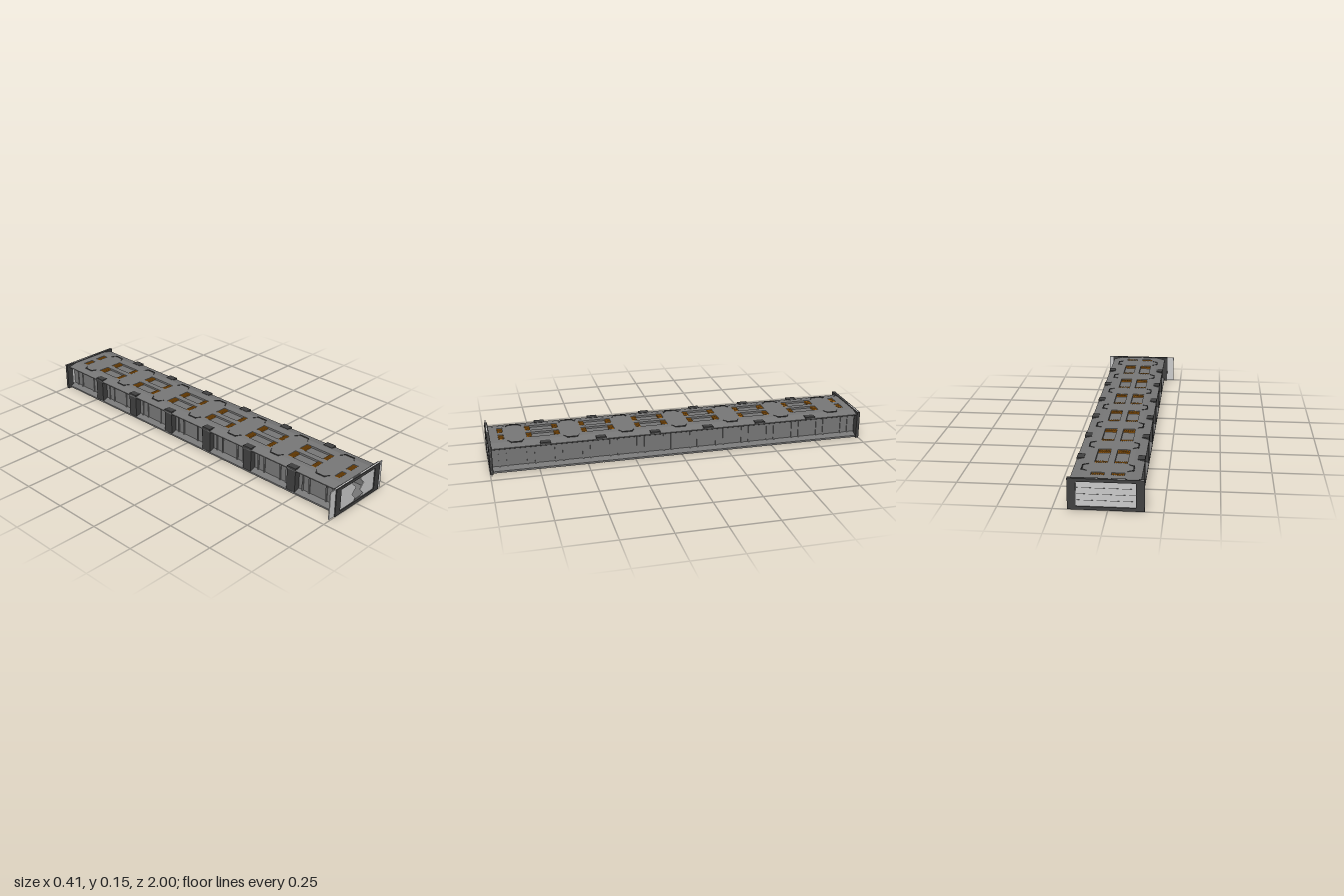
import * as THREE from 'three';

const CX = 0.013; // centre line of the passage
const mat = (color) => new THREE.MeshStandardMaterial({ color, flatShading: true, side: THREE.DoubleSide });

export function createModel() {
  const model = new THREE.Group();
  const hull = mat(0x777777), dark = mat(0x404040), light = mat(0xcccccc), amber = mat(0xb06a10);

  const add = (name, geo, material, parent = model) => {
    const m = new THREE.Mesh(geo, material);
    m.name = name;
    parent.add(m);
    return m;
  };
  // box given by its limits on each axis
  const box = (name, x0, x1, y0, y1, z0, z1, material, parent) => {
    const m = add(name, new THREE.BoxGeometry(Math.abs(x1 - x0), y1 - y0, z1 - z0), material, parent);
    m.position.set((x0 + x1) / 2, (y0 + y1) / 2, (z0 + z1) / 2);
    return m;
  };
  const shapeOf = (pts) => new THREE.Shape(pts.map(([x, y]) => new THREE.Vector2(x, y)));
  const rect = (x0, x1, y0, y1) => [[x0, y0], [x1, y0], [x1, y1], [x0, y1]];
  const extrude = (shape, depth) => new THREE.ExtrudeGeometry(shape, { depth, bevelEnabled: false });
  // lay an extrusion flat: shape y becomes z, thickness rises from y0
  const flat = (name, shape, y0, h, material, parent) => {
    const m = add(name, extrude(shape, h), material, parent);
    m.rotation.x = Math.PI / 2;
    m.position.y = y0 + h;
    return m;
  };

  // hollow passage with walls set back between floor and roof flanges
  const half = [[0.16, 0.004], [0.16, 0.012], [0.127, 0.025], [0.127, 0.115],
    [0.16, 0.13], [0.16, 0.135], [0.11, 0.147], [0.11, 0.137]];
  const section = shapeOf([
    ...half.map(([x, y]) => [CX + x, y]),
    ...half.slice().reverse().map(([x, y]) => [CX - x, y]),
  ]);
  section.holes.push(shapeOf(rect(CX - 0.12, CX + 0.12, 0.014, 0.131)));
  add('passageShell', extrude(section, 1.97), hull).position.z = -0.985;

  // roof plate with two rows of sunken trays
  const pitch = 0.1427;
  const lampZ = Array.from({ length: 14 }, (_, i) => (i - 6.5) * pitch);
  const rows = [-0.04, 0.052];
  const roof = shapeOf(rect(CX - 0.11, CX + 0.11, -0.985, 0.985));
  for (const x of rows) {
    for (let i = 0; i < 14; i += 2) {
      const mid = i === 0 ? null : (lampZ[i - 1] + lampZ[i]) / 2;
      if (mid !== null) roof.holes.push(shapeOf(rect(x - 0.03, x + 0.03, mid - 0.085, mid + 0.085)));
    }
    for (const s of [-1, 1]) {
      const z = s * 6.5 * pitch;
      roof.holes.push(shapeOf(rect(x - 0.03, x + 0.03, z - 0.014, z + 0.014)));
    }
  }
  flat('roofPlate', roof, 0.137, 0.01, hull);

  // slatted amber lamps in the trays
  const lamps = new THREE.Group();
  lamps.name = 'roofLamps';
  model.add(lamps);
  for (const x of rows) for (const z of lampZ) {
    box('lampBed', x - 0.029, x + 0.029, 0.137, 0.141, z - 0.013, z + 0.013, amber, lamps);
    for (let k = 0; k < 6; k++) {
      const sx = x - 0.025 + k * 0.01;
      box('lampSlat', sx - 0.003, sx + 0.003, 0.141, 0.145, z - 0.013, z + 0.013, amber, lamps);
    }
  }

  // trapezoid brackets along both roof edges
  for (const s of [-1, 1]) for (let i = -3; i <= 3; i++) {
    const z = i * 2 * pitch;
    const X = (d) => CX + s * d;
    flat('roofBracket', shapeOf([
      [X(0.093), z - 0.043], [X(0.121), z - 0.027], [X(0.121), z + 0.027], [X(0.093), z + 0.043],
      [X(0.093), z + 0.038], [X(0.116), z + 0.024], [X(0.116), z - 0.024], [X(0.093), z - 0.038],
    ]), 0.142, 0.007, dark);
  }

  // dark clamps over the roof edge; on the right side they run down as pillars
  for (let i = 0; i < 6; i++) {
    const z = (i - 2.5) * 2 * pitch;
    for (const s of [-1, 1]) {
      box('roofClamp', CX + s * 0.125, CX + s * 0.16, 0.13, 0.145, z - 0.026, z + 0.026, dark);
    }
    box('wallPillar', CX - 0.159, CX - 0.125, 0.012, 0.132, z - 0.026, z + 0.026, dark);
  }

  // paired ribs on the recessed walls
  for (const s of [-1, 1]) for (const z of lampZ) for (const dz of [-0.02, 0.02]) {
    box('wallRib', CX + s * 0.126, CX + s * 0.132, 0.023, 0.117, z + dz - 0.004, z + dz + 0.004, hull);
  }

  // underside panels with narrow seams
  for (let i = 0; i < 7; i++) for (let k = 0; k < 3; k++) {
    const z = (i - 3) * 2 * pitch * 0.985, x = CX + (k - 1) * 0.106;
    box('floorPanel', x - 0.051, x + 0.051, 0.001, 0.005, z - 0.138, z + 0.138, hull);
  }

  // door frames at both ends
  for (const [name, z] of [['frontFrame', 0.984], ['backFrame', -1]]) {
    const frame = shapeOf(rect(-0.165, 0.182, 0, 0.15));
    frame.holes.push(shapeOf(rect(-0.127, 0.143, 0.016, 0.134)));
    add(name, extrude(frame, 0.016), dark).position.z = z;
  }

  // sliding door leaves with toothed meeting edges; front pair stands ajar
  const teeth = [[0, 0.15], [0, 0.12], [0.029, 0.09], [0, 0.06], [0.029, 0.03], [0, 0.001]];
  const leaf = (name, outer, edge, z) => {
    const shape = shapeOf([[outer, 0.001], [outer, 0.15], ...teeth.map(([x, y]) => [edge + x, y])]);
    add(name, extrude(shape, 0.005), light).position.z = z;
  };
  leaf('frontDoorRight', -0.205, -0.031, 0.99);
  leaf('frontDoorLeft', 0.205, 0.031, 0.99);
  leaf('backDoorRight', -0.16, 0, -0.995);
  leaf('backDoorLeft', 0.178, 0, -0.995);

  // fine horizontal grooves on the doors
  for (const y of [0.045, 0.075, 0.105]) {
    box('backDoorGroove', -0.125, 0.141, y - 0.0007, y + 0.0007, -0.9958, -0.995, dark);
  }
  return model;
}
